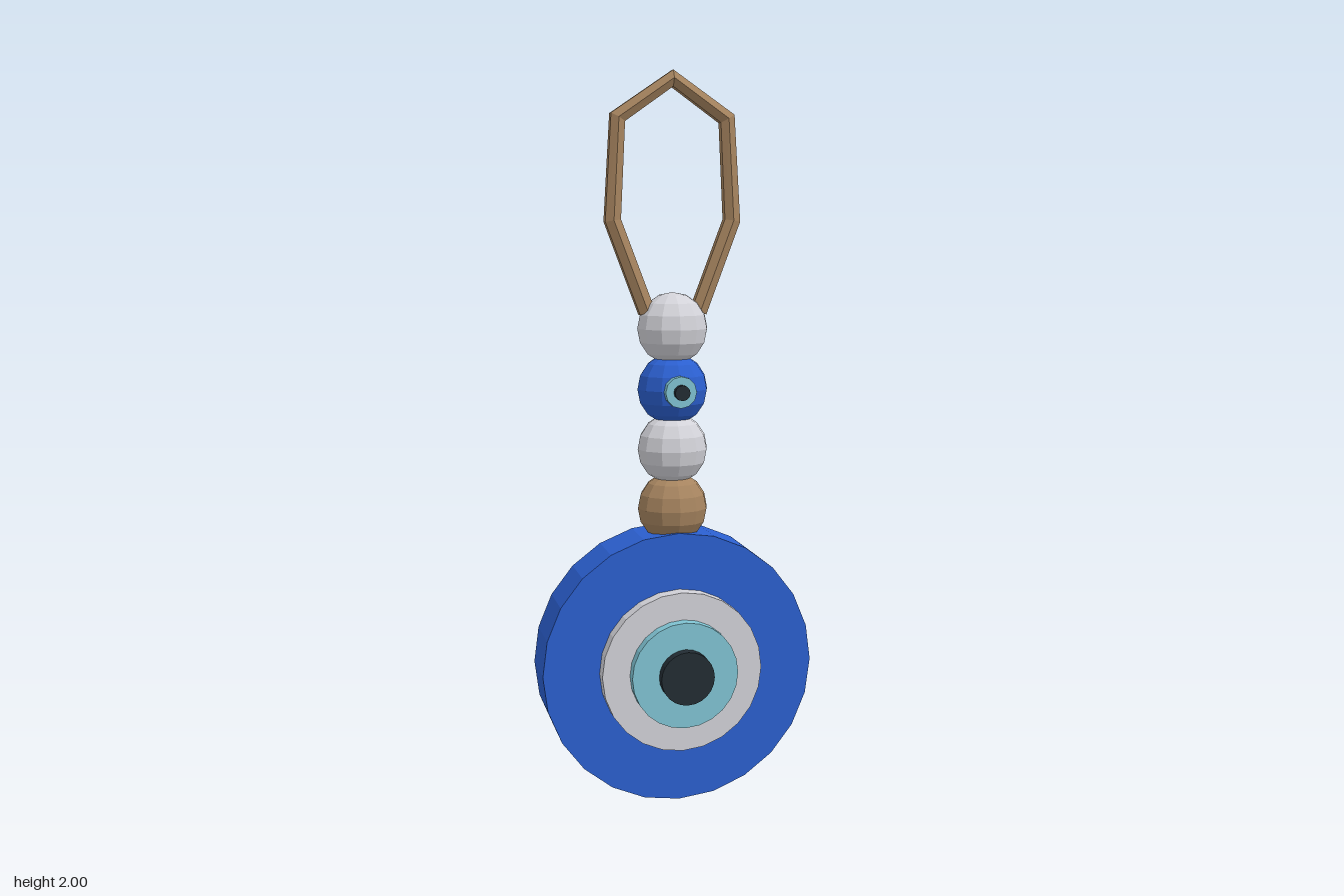
import * as THREE from 'three';

const mat = (name, color) => {
  const m = new THREE.MeshStandardMaterial({ color, flatShading: true });
  m.name = name;
  return m;
};

export function createModel() {
  const blue = mat('cobalt blue', 0x2b5fcf);
  const white = mat('soft white', 0xd2d2d8);
  const teal = mat('pale teal', 0x80c4d3);
  const black = mat('pupil black', 0x222c33);
  const tan = mat('tan cord', 0xa6845f);
  tan.side = THREE.DoubleSide;

  const group = new THREE.Group();
  const add = (name, geometry, material, x, y, z) => {
    const mesh = new THREE.Mesh(geometry, material);
    mesh.name = name;
    mesh.position.set(x, y, z);
    group.add(mesh);
    return mesh;
  };

  // Round plate facing +z, spanning back..front in z
  const disc = (name, material, r, y, back, front, sides) => add(
    name,
    new THREE.CylinderGeometry(r, r, front - back, sides).rotateX(Math.PI / 2),
    material, 0, y, (back + front) / 2);

  // Stepped eye pendant
  const eyeY = 0.381;
  disc('pendantDisc', blue, 0.38, eyeY, -0.125, 0.033, 24);
  disc('whiteRing', white, 0.224, eyeY, 0.03, 0.075, 24);
  disc('iris', teal, 0.148, eyeY, 0.07, 0.108, 24);
  disc('pupil', black, 0.074, eyeY, 0.1, 0.137, 24);

  // Stacked beads
  const z = -0.045;
  const beads = [['tanBead', tan], ['lowerWhiteBead', white], ['blueBead', blue], ['upperWhiteBead', white]];
  beads.forEach(([name, material], i) => {
    const bead = add(name, new THREE.SphereGeometry(0.098, 12, 8), material, 0, 0.82 + i * 0.165, z);
    bead.scale.z = 0.94;
  });

  // Small eye on the blue bead
  disc('beadIris', teal, 0.043, 1.15, 0.02, 0.057, 12);
  disc('beadPupil', black, 0.021, 1.15, 0.05, 0.074, 12);

  // Angular cord loop, one tube ring at each corner
  const half = [[0.072, 1.36], [0.165, 1.605], [0.15, 1.875]];
  const corners = [...half.map(([x, y]) => [-x, y]), [0, 1.978], ...half.slice().reverse()];
  const curve = new THREE.CatmullRomCurve3(corners.map(([x, y]) => new THREE.Vector3(x, y, 0)));
  curve.getUtoTmapping = (u) => u;
  add('cordLoop', new THREE.TubeGeometry(curve, corners.length - 1, 0.025, 6), tan, 0, 0, z);

  return group;
}
